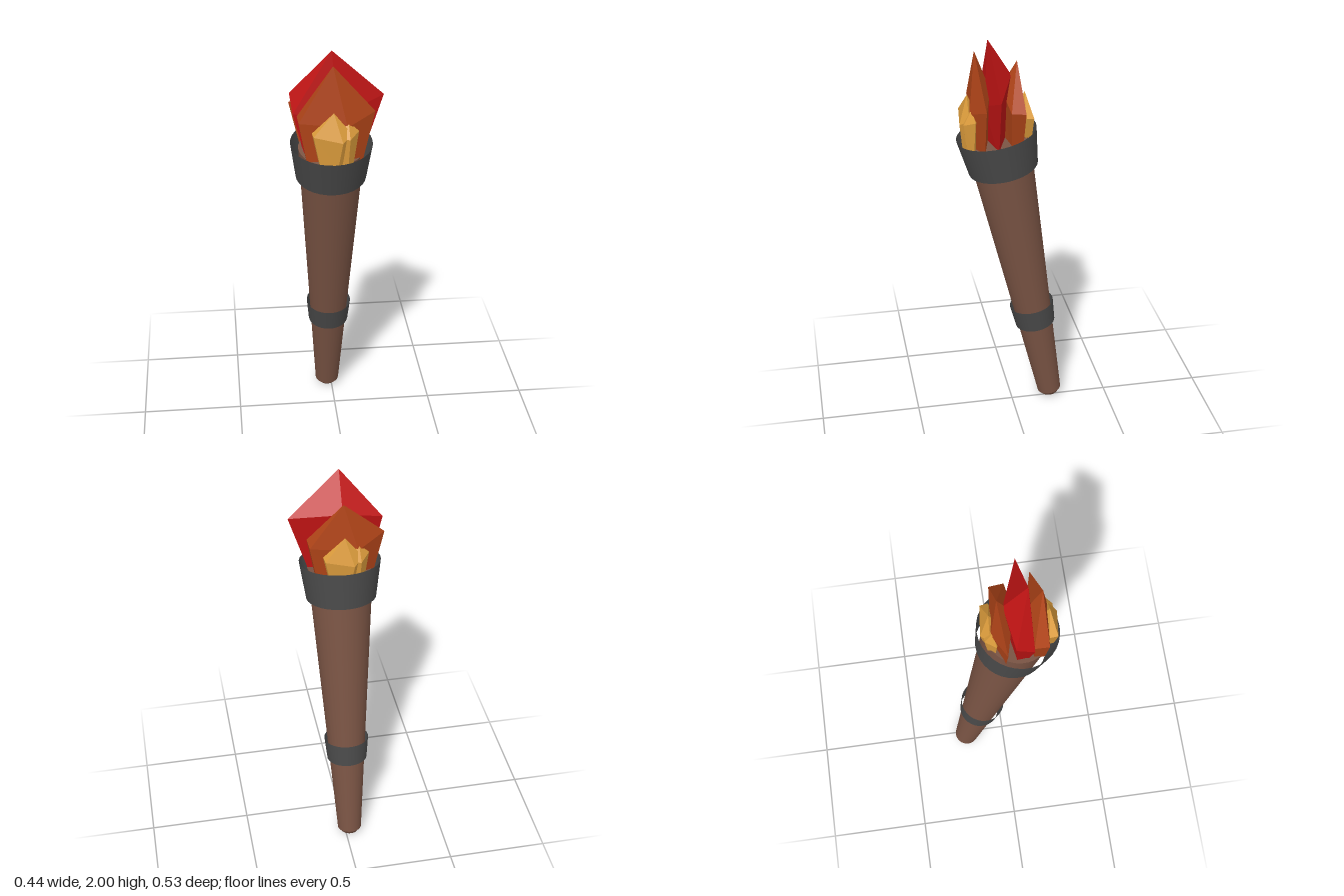
import * as THREE from 'three';

const TILT = 0.183;
const CX = -0.022, CZ = 0.074; // centre line through the flames

const mat = (color, extra = {}) => new THREE.MeshStandardMaterial({ color, ...extra });
const wood = mat(0x7a5444);
const iron = mat(0x4a4a4a, { side: THREE.DoubleSide });
const red = mat(0xc01414, { flatShading: true });
const orange = mat(0xb04418, { flatShading: true });
const yellow = mat(0xdc9c3c, { flatShading: true });

// Tapered section of the torch between two heights along its axis
function section(name, y0, y1, r0, r1, material, open = false) {
  const geo = new THREE.CylinderGeometry(r1, r0, y1 - y0, 32, 1, open);
  geo.translate(0, (y0 + y1) / 2, 0);
  const mesh = new THREE.Mesh(geo, material);
  mesh.name = name;
  return mesh;
}

// Faceted flame: a tip, a widest ring, and the ring shrunk down to the base
function flame(name, material, tip, ring, baseY, shrink) {
  const n = ring.length;
  const mid = [0, 2].map(k => ring.reduce((s, p) => s + p[k], 0) / n);
  const base = ring.map(p => [
    mid[0] + (p[0] - mid[0]) * shrink, baseY, mid[1] + (p[2] - mid[1]) * shrink]);
  const foot = [mid[0], baseY, mid[1]];
  const pos = [];
  for (let i = 0; i < n; i++) {
    const j = (i + 1) % n;
    pos.push(...tip, ...ring[i], ...ring[j]);
    pos.push(...ring[i], ...base[i], ...base[j]);
    pos.push(...ring[i], ...base[j], ...ring[j]);
    pos.push(...foot, ...base[j], ...base[i]);
  }
  const geo = new THREE.BufferGeometry();
  geo.setAttribute('position', new THREE.Float32BufferAttribute(pos, 3));
  geo.computeVertexNormals();
  const mesh = new THREE.Mesh(geo, material);
  mesh.name = name;
  return mesh;
}

// Turn a front flame half way round the centre line
function toBack(mesh) {
  mesh.rotation.y = Math.PI;
  mesh.position.set(2 * CX, 0, 2 * CZ);
  return mesh;
}

const orangeFlame = (name, tipY) => flame(name, orange, [-0.024, tipY, 0.175], [
  [0.175, 1.714, 0.15], [-0.02, 1.75, 0.1], [-0.188, 1.69, 0.12],
  [-0.185, 1.68, 0.19], [0.04, 1.66, 0.21]], 1.46, 0.72);

const yellowFlame = name => flame(name, yellow, [-0.024, 1.735, 0.212], [
  [0.06, 1.63, 0.215], [-0.02, 1.65, 0.17], [-0.125, 1.635, 0.2],
  [-0.12, 1.63, 0.24], [0.015, 1.6, 0.255]], 1.47, 0.6);

const yellowSpark = name => flame(name, yellow, [0.045, 1.685, 0.2], [
  [0.095, 1.635, 0.19], [0.04, 1.64, 0.165], [-0.02, 1.63, 0.18],
  [-0.01, 1.62, 0.235], [0.05, 1.61, 0.24]], 1.47, 0.6);

export function createModel() {
  const model = new THREE.Group();
  model.name = 'torch';

  // Leaning handle with two loose, open iron bands
  const handle = new THREE.Group();
  handle.name = 'handle';
  handle.position.set(CX, 0.03, -0.205);
  handle.rotation.x = TILT;
  handle.add(
    section('handleTip', -0.022, 0, 0.043, 0.061, wood),
    section('shaft', 0, 1.5, 0.061, 0.158, wood),
    section('lowerBand', 0.433, 0.55, 0.101, 0.112, iron, true),
    section('upperBand', 1.341, 1.529, 0.17, 0.196, iron, true));
  model.add(handle);

  // Upright flames: red in the middle, orange and yellow in front and behind
  const flames = new THREE.Group();
  flames.name = 'flames';
  flames.add(
    flame('redFlame', red, [-0.024, 2, 0.111], [
      [0.221, 1.773, 0.09], [-0.022, 1.82, 0], [-0.217, 1.773, 0.035],
      [-0.207, 1.7, 0.12], [0, 1.68, 0.133]], 1.46, 0.62),
    orangeFlame('frontOrangeFlame', 1.948),
    toBack(orangeFlame('backOrangeFlame', 1.89)),
    yellowFlame('frontYellowFlame'),
    yellowSpark('frontYellowSpark'),
    toBack(yellowFlame('backYellowFlame')),
    toBack(yellowSpark('backYellowSpark')));
  model.add(flames);
  return model;
}
